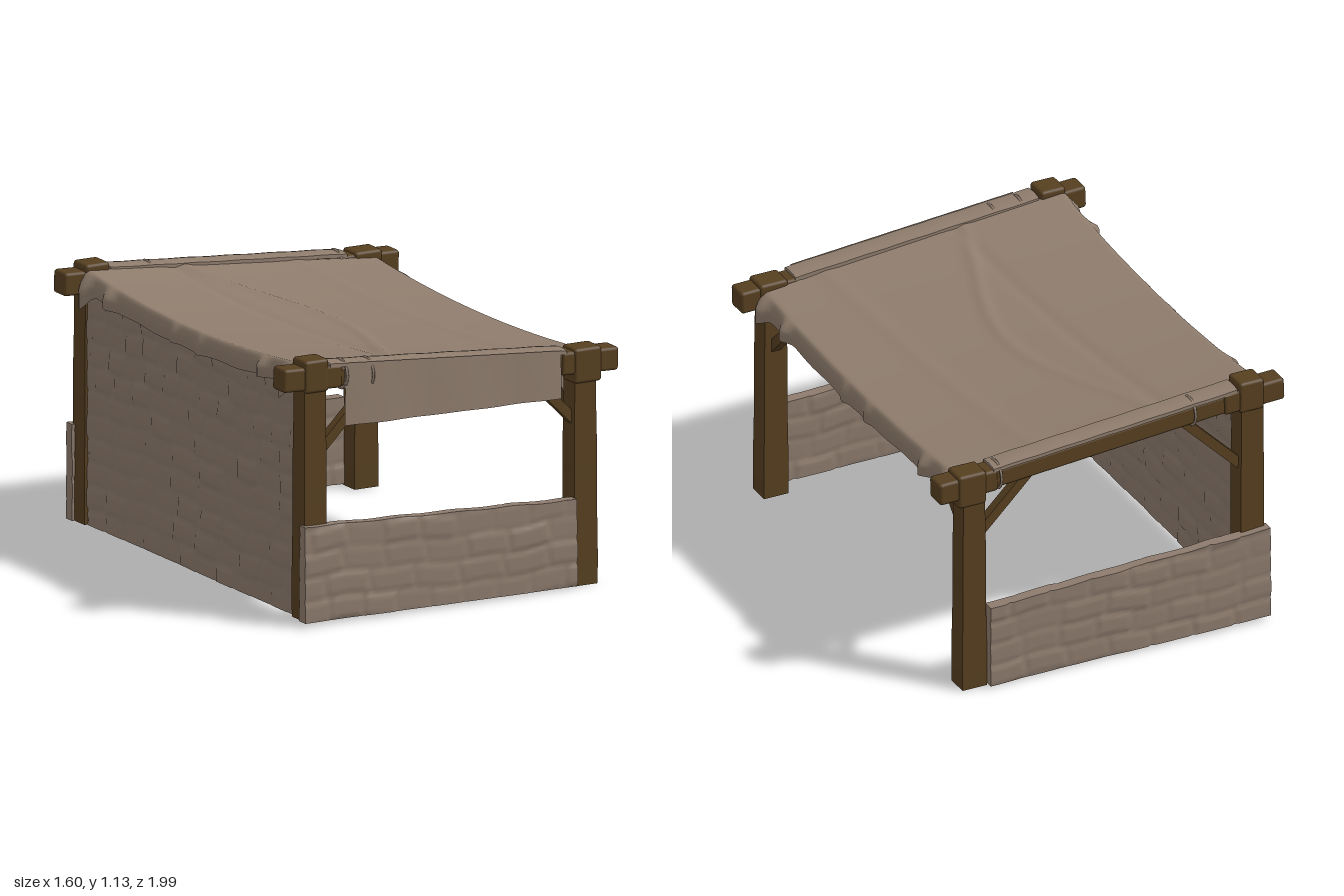
import * as THREE from 'three';
import { RoundedBoxGeometry } from 'three/addons/geometries/RoundedBoxGeometry.js';

const SLOPE = 0.08;
const hash = (a, b) => { const s = Math.sin(a * 127.1 + b * 311.7) * 43758.5453; return s - Math.floor(s); };
const bump = (v, c, w) => Math.exp(-(((v - c) / w) ** 2));
// Height of the cloth roof: sloping along x, sagging between the ends
const roofY = (x, z) => 1.045 - 0.09 * x - (0.047 - 0.008 * x) * (1 - (z / 0.87) ** 2);

function reshape(geo, rule) {
  const p = geo.attributes.position, v = new THREE.Vector3();
  for (let i = 0; i < p.count; i++) {
    v.fromBufferAttribute(p, i);
    rule(v);
    p.setXYZ(i, v.x, v.y, v.z);
  }
  geo.computeVertexNormals();
  return geo;
}

// Raised height of a stone at (u, v), falling off to the joints
function stoneRelief(u, v, seed) {
  const h = 0.102;
  const wob = v + 0.012 * Math.sin(u * 5 + seed) + 0.005 * Math.sin(u * 19 + seed);
  const row = Math.floor(wob / h);
  const w = 0.14 + 0.09 * hash(row, seed);
  const uu = u + 10 + hash(row, seed + 3) * w + 0.006 * Math.sin(v * 40 + row);
  const col = Math.floor(uu / w);
  const fv = wob - row * h, fu = uu - col * w;
  const edge = Math.min(fv, h - fv, fu, w - fu);
  return Math.min(edge / 0.016, 1) * (0.003 + 0.007 * hash(row + seed, col));
}

// Stone wall of given length and thickness, with rules for its bottom and top lines
function stoneWall(len, thick, rows, bottomLine, topLine, seed) {
  const geo = new THREE.BoxGeometry(len, 1, thick, Math.round(len * 75), rows, 1);
  return reshape(geo, (v) => {
    const top = topLine(v.x) + 0.002 * Math.sin(v.x * 23 + seed), bottom = bottomLine(v.x);
    const y = bottom + (v.y + 0.5) * (top - bottom);
    v.z += Math.sign(v.z) * (stoneRelief(v.x, y, seed + Math.sign(v.z)) - 0.005);
    v.y = y;
  });
}

export function createModel() {
  const root = new THREE.Group();
  const wood = new THREE.MeshStandardMaterial({ color: 0x563f20, name: 'wood' });
  const stone = new THREE.MeshStandardMaterial({ color: 0x8d7b6d, name: 'stone' });
  const cloth = new THREE.MeshStandardMaterial({ color: 0x8f7d6d, name: 'cloth', side: THREE.DoubleSide });

  const add = (name, geo, mat, x = 0, y = 0, z = 0) => {
    const m = new THREE.Mesh(geo, mat);
    m.name = name;
    m.position.set(x, y, z);
    root.add(m);
    return m;
  };
  const block = (name, w, h, d, x, y, z, tilt = 0) => {
    add(name, new RoundedBoxGeometry(w, h, d, 2, 0.014), wood, x, y, z).rotation.z = tilt;
  };
  const strut = (name, a, b, w) => {
    const p = new THREE.Vector3(...a), q = new THREE.Vector3(...b);
    const m = add(name, new THREE.BoxGeometry(w, w, p.distanceTo(q)), wood);
    m.position.copy(p).add(q).multiplyScalar(0.5);
    m.lookAt(q);
  };

  // Timber frame, the same at the front and back
  for (const s of [1, -1]) {
    const z = 0.91 * s;
    for (const [x, foot, top] of [[-0.65, 0.018, 1.09], [0.64, 0, 0.99]]) {
      // Posts, a little wider at the foot
      const h = top - foot;
      const post = new THREE.BoxGeometry(0.1, h, 0.093, 1, 8, 1);
      reshape(post, (v) => {
        const k = 1 + 0.14 * (0.5 - v.y / h) + 0.02 * Math.sin(v.y * 14);
        v.x *= k;
        v.z *= 1 + (k - 1) * 0.7;
      });
      add('post', post, wood, x, foot + h / 2, z);
    }
    // Cross beam with its protruding ends
    block('crossBeam', 1.4, 0.085, 0.085, 0, 1.0, z, -Math.atan(SLOPE));
    block('highBeamEnd', 0.28, 0.1, 0.1, -0.66, 1.05, z, -0.04);
    block('highPostHead', 0.115, 0.14, 0.112, -0.645, 1.06, z);
    block('lowBeamEnd', 0.27, 0.1, 0.1, 0.665, 0.952, z, -0.03);
    block('lowPostHead', 0.13, 0.15, 0.112, 0.65, 0.94, z);

    // Diagonal braces reaching up to the beams
    strut('highBrace', [-0.63, 0.71, z], [-0.35, 0.99, z], 0.042);
    strut('lowBrace', [0.62, 0.69, z], [0.37, 0.94, z], 0.042);
    strut('sideBrace', [0.64, 0.7, 0.88 * s], [0.64, 0.92, 0.66 * s], 0.042);

    // Low stone wall set against the outside of the posts
    const low = stoneWall(1.3, 0.05, 30, (x) => 0.013 - 0.008 * x, (x) => 0.404 - 0.039 * x, s + 5);
    add('lowWall', low, stone, -0.068, 0, 0.967 * s);

    // Cloth laid over the beam
    const strip = new THREE.BoxGeometry(1.13, 0.016, 0.1, 24, 1, 4);
    reshape(strip, (v) => {
      v.y += 0.006 * (1 - (v.z / 0.05) ** 2) + 0.001 * Math.sin(v.x * 31) - SLOPE * v.x;
    });
    add('beamCloth', strip, cloth, -0.015, 1.051, z);

    // Rope ties round the beam
    for (const x of s > 0 ? [-0.505, -0.38] : [-0.38, 0.52]) {
      const tie = add('ropeTie', new THREE.TorusGeometry(0.062, 0.006, 6, 20), cloth, x, 1.004 - SLOPE * x, z);
      tie.rotation.y = Math.PI / 2;
    }
  }

  // Side beams following the sag: bare on the open side, wrapped in cloth above the full wall
  for (const [name, x, mat] of [['sideBeam', 0.645, wood], ['wrappedSideBeam', -0.65, cloth]]) {
    const side = new THREE.BoxGeometry(0.07, 0.065, 1.74, 1, 1, 20);
    reshape(side, (v) => { v.y += roofY(x, v.z) - 0.045; });
    add(name, side, mat, x);
  }

  // Full-height stone wall on the high side
  const full = stoneWall(1.74, 0.038, 64, () => 0.02, (u) => roofY(-0.67, u) - 0.06, 11);
  add('fullWall', full, stone, -0.674).rotation.y = Math.PI / 2;

  // Cloth roof with folded edges hanging down on both sides
  const bulge = (z) => 0.035 * (bump(z, 0.63, 0.035) + bump(z, -0.64, 0.04))
    + 0.045 * bump(Math.abs(z), 0.83, 0.035) + 0.016 * (bump(z, 0.1, 0.03) + bump(z, -0.11, 0.03));
  const roof = new THREE.PlaneGeometry(1.57, 1.73, 110, 90).rotateX(-Math.PI / 2);
  reshape(roof, (v) => {
    const edge = 0.693, over = Math.max(0, Math.abs(v.x) - edge), sx = Math.sign(v.x);
    const folds = 0.008 * bump(v.x, -0.12 + 0.12 * Math.cos(v.z * 3), 0.03)
      - 0.006 * bump(v.x, -0.24 + 0.05 * v.z, 0.03) + 0.005 * bump(v.x, 0.36 + 0.06 * v.z, 0.04);
    const k = Math.min(over / 0.04, 1);
    // The corners of the cloth hang lower
    const drop = 0.95 + (sx < 0 ? 0.7 : 0.3) * bump(Math.abs(v.z), 0.83, 0.035);
    if (over > 0) v.x = sx * (edge + (0.014 + bulge(v.z)) * k);
    v.y = roofY(sx * Math.min(Math.abs(v.x), edge), v.z) + folds - over * drop
      - 0.003 * k * Math.sin(v.z * 19);
  });
  add('clothRoof', roof, cloth);

  // Cloth wrapped round the front beam
  const wrap = new THREE.BoxGeometry(1.03, 0.1, 0.1);
  add('beamWrap', wrap, cloth, 0.005, 1.0, 0.91).rotation.z = -Math.atan(SLOPE);

  // Front hanging cloth
  const valance = new THREE.PlaneGeometry(1.03, 1, 50, 10);
  reshape(valance, (v) => {
    const x = v.x + 0.005, t = v.y + 0.5;
    const top = 1.06 - SLOPE * x, bottom = 0.822 - 0.016 * x + 0.001 * Math.sin(x * 24);
    v.x = x;
    v.y = bottom + t * (top - bottom);
    v.z = 0.964 + 0.003 * (1 - t) * Math.sin(x * 15);
  });
  add('frontValance', valance, cloth);

  return root;
}
